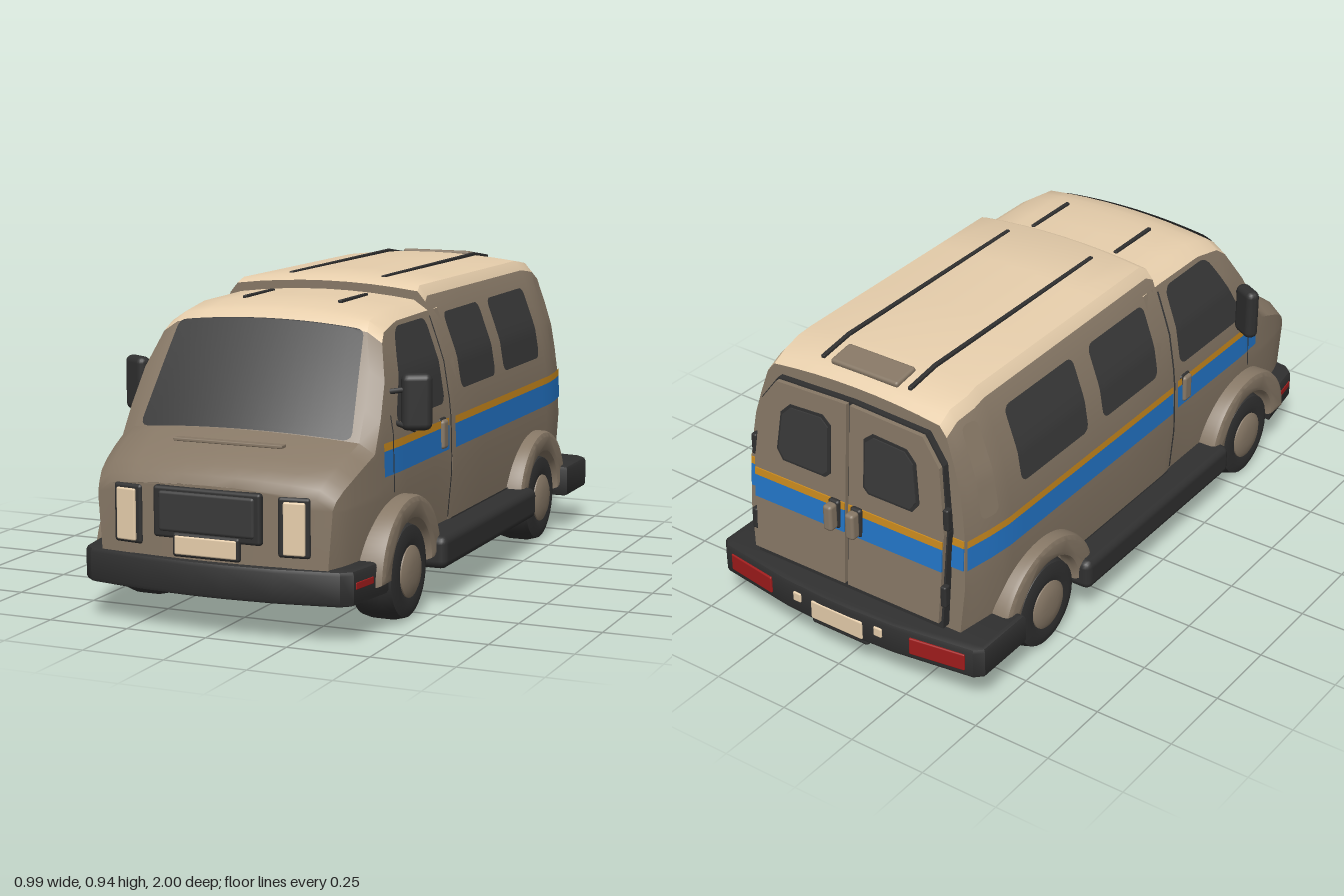
import * as THREE from 'three';
import { toCreasedNormals } from 'three/addons/utils/BufferGeometryUtils.js';
import { RoundedBoxGeometry } from 'three/addons/geometries/RoundedBoxGeometry.js';

const mat = (name, color, side = THREE.FrontSide) => {
  const m = new THREE.MeshStandardMaterial({ color, side });
  m.name = name;
  return m;
};

// piecewise linear lookup in an ascending table
function lookup(table, v) {
  if (v <= table[0][0]) return table[0][1];
  for (let i = 1; i < table.length; i++) {
    const [a, p] = table[i - 1], [b, q] = table[i];
    if (v <= b) return p + (q - p) * (v - a) / (b - a);
  }
  return table[table.length - 1][1];
}
const sideX = y => lookup([[.2, .405], [.37, .42], [.55, .415], [.7, .39], [.81, .35], [.87, .328], [.91, .305]], y);
const taper = z => lookup([[-.9, .93], [-.87, .94], [-.75, 1], [.169, 1], [.171, .985], [.6, .985], [.8, .96], [.92, .92], [.98, .87]], z);
const cabTop = z => lookup([[.1, .895], [.42, .892], [.53, .872], [.57, .845], [.77, .555], [.86, .522], [.935, .482], [.965, .455], [.98, .43]], z);
const rearTop = z => lookup([[-.87, .885], [-.82, .912], [-.7, .93], [.14, .935], [.17, .92]], z);
const CROWN = .02, DROP = .05, CAB_INSET = .045, REAR_INSET = .025, BOW = .25, BODY_LEAN = .06, DOOR_LEAN = .075;
const flatX = (top, z, inset) => sideX(top - DROP) * taper(z) - inset;

// bows the nose in plan and leans the tail
function bend(g) {
  const p = g.attributes.position;
  for (let i = 0; i < p.count; i++) {
    const x = p.getX(i), y = p.getY(i);
    let z = p.getZ(i);
    if (z > .5) z -= BOW * x * x * Math.min(1, (z - .5) / .3);
    else if (z < -.75) z -= (.85 - y) * BODY_LEAN * Math.min(1, (-.75 - z) / .12);
    p.setZ(i, z);
  }
  g.computeVertexNormals();
  return g;
}

// half cross-section, from the sill up to the roof centre
function section(z, top, inset) {
  const pts = [.2, .37].map(y => [sideX(y) * taper(z), y]);
  for (let k = 1; k <= 6; k++) {
    const y = .37 + (top - DROP - .37) * k / 6;
    pts.push([sideX(y) * taper(z), y]);
  }
  for (const f of [1, .75, .5, .25, 0]) pts.push([f * flatX(top, z, inset), top - CROWN * f * f]);
  return pts;
}

// shell lofted back to front, with roof faces in a second group
function shell(zs, topOf, inset, roofEnd, backCap) {
  const body = [], roof = [];
  const halves = zs.map(z => section(z, topOf(z), inset));
  const rings = halves.map((h, s) => [...h, ...h.slice(0, -1).reverse().map(([x, y]) => [-x, y])].map(([x, y]) => [x, y, zs[s]]));
  const quad = (out, a, b, c, d) => out.push(...a, ...b, ...c, ...a, ...c, ...d);
  for (let s = 0; s < zs.length - 1; s++) {
    const r = rings[s], q = rings[s + 1];
    for (let i = 0; i < r.length - 1; i++) {
      const isRoof = i >= 7 && i < 17 && zs[s + 1] <= roofEnd;
      quad(isRoof ? roof : body, r[i], r[i + 1], q[i + 1], q[i]);
    }
  }
  const cap = (s, front) => {
    const h = halves[s], n = 8, P = (i, j) => [h[i][0] * (2 * j / n - 1), h[i][1], zs[s]];
    for (let i = 0; i < h.length - 1; i++) for (let j = 0; j < n; j++) {
      const c = [P(i, j), P(i, j + 1), P(i + 1, j + 1), P(i + 1, j)];
      quad(body, ...(front ? c : c.reverse()));
    }
  };
  cap(zs.length - 1, true);
  if (backCap) cap(0, false);
  const g = new THREE.BufferGeometry();
  g.setAttribute('position', new THREE.Float32BufferAttribute([...body, ...roof], 3));
  g.addGroup(0, body.length / 3, 0);
  g.addGroup(body.length / 3, roof.length / 3, 1);
  return toCreasedNormals(bend(g), .6);
}

// thin curved sheet: fn(u, v) with u, v in 0..1
function sheet(nu, nv, fn) {
  const g = new THREE.PlaneGeometry(1, 1, nu, nv), p = g.attributes.position;
  for (let i = 0; i < p.count; i++) p.setXYZ(i, ...fn(p.getX(i) + .5, .5 - .5 * Math.cos(Math.PI * (p.getY(i) + .5))));
  return bend(g);
}
const cornerInset = (d, r) => d < r ? r - Math.sqrt(r * r - (r - d) ** 2) : 0;

export function createModel() {
  const model = new THREE.Group();
  model.name = 'van';
  const body = mat('taupe body', 0x877866), tan = mat('light tan', 0xebd2af), trim = mat('black trim', 0x303030),
    glass = mat('dark glass', 0x393939, THREE.DoubleSide), blue = mat('blue stripe', 0x2376c9, THREE.DoubleSide),
    orange = mat('orange stripe', 0xcd8c1e, THREE.DoubleSide), red = mat('red lamp', 0xa01c1c);
  const add = (name, g, m, x = 0, y = 0, z = 0, ry = 0) => {
    const o = new THREE.Mesh(g, m);
    o.name = name;
    o.position.set(x, y, z);
    o.rotation.y = ry;
    model.add(o);
    return o;
  };
  const box = (name, m, w, h, d, x, y, z, ry = 0, r = .01) =>
    add(name, new RoundedBoxGeometry(w, h, d, 2, Math.min(r, w / 2.1, h / 2.1, d / 2.1)), m, x, y, z, ry);
  // sheet on the body side, from zBack to zFront(y)
  const panel = (name, m, s, y0, y1, zBack, zFront, off, r = 0) => add(name, sheet(14, 16, (u, v) => {
    const y = y0 + (y1 - y0) * v, c = cornerInset(Math.min(y - y0, y1 - y), r);
    const a = zBack + c, b = (typeof zFront === 'function' ? zFront(y) : zFront) - c;
    const z = s > 0 ? b + (a - b) * u : a + (b - a) * u;
    return [s * (sideX(y) * taper(z) + off), y, z];
  }), m);

  // body shells
  add('rearBody', shell([-.87, -.845, -.82, -.75, -.7, -.4, -.1, .14, .17], rearTop, REAR_INSET, 1, true), [body, tan]);
  add('cab', shell([.1, .2, .3, .42, .48, .53, .57, .64, .71, .77, .83, .89, .935, .965, .98], cabTop, CAB_INSET, .575, false), [body, tan]);
  box('chassis', trim, .8, .1, 1.5, 0, .165, 0);

  // windscreen
  for (const [name, grow, off] of [['windscreenSeal', .01, .004], ['windscreen', 0, .008]])
    add(name, sheet(16, 18, (u, v) => {
      const z = .765 + grow * .5 - (.195 + grow) * v, top = cabTop(z), d = Math.min(v, 1 - v) * .36;
      const x = (2 * u - 1) * (.325 - .04 * v + grow - cornerInset(d, .025)), f = x / flatX(top, z, CAB_INSET);
      return [x, top - CROWN * f * f + off * .6, z + off * .8];
    }), glass);

  // bumpers, drawn in plan and raised
  const bumper = (name, half, y) => {
    const pts = [...half, ...half.slice().reverse().map(([x, z]) => [-x, z])];
    const g = new THREE.ExtrudeGeometry(new THREE.Shape(pts.map(([x, z]) => new THREE.Vector2(x, -z))),
      { depth: .075, bevelSize: .014, bevelThickness: .014, bevelOffset: -.014, bevelSegments: 2 });
    add(name, toCreasedNormals(g.rotateX(-Math.PI / 2), .5), trim, 0, y + .014);
  };
  bumper('frontBumper', [[.448, .745], [.42, .925], [.39, .952], [.2, .985], [.05, .995]], .112);
  bumper('rearBumper', [[.485, -.73], [.485, -.93], [.46, -.955], [.2, -.992], [.05, -1]], .118);

  // nose
  box('grilleFrame', trim, .335, .148, .03, 0, .347, .975);
  box('grille', glass, .3, .118, .03, 0, .35, .98);
  box('frontPlateFrame', trim, .21, .07, .02, 0, .257, .986);
  box('frontPlate', tan, .192, .054, .02, 0, .257, .99, 0, .005);
  box('hoodVent', body, .34, .01, .03, 0, .529, .84, 0, .003);

  // plate on the leaning tail
  const tail = (name, m, pts, off, depth) => {
    const g = new THREE.ExtrudeGeometry(new THREE.Shape(pts.map(p => new THREE.Vector2(...p))), { depth, bevelEnabled: false });
    const p = g.attributes.position;
    for (let i = 0; i < p.count; i++) p.setZ(i, p.getZ(i) - .885 - (.85 - p.getY(i)) * DOOR_LEAN - off);
    g.computeVertexNormals();
    add(name, g, m);
  };
  const rect = (x0, x1, y0, y1) => [[x0, y0], [x1, y0], [x1, y1], [x0, y1]];
  box('rearPlateFrame', trim, .21, .05, .03, 0, .126, -.975);
  box('rearPlate', tan, .19, .062, .02, 0, .16, -.993, 0, .005);

  for (const s of [1, -1]) {
    const flip = pts => pts.map(([x, y]) => [x * s, y]);
    // wheels and arches
    for (const [end, z] of [['front', .585], ['rear', -.565]]) {
      const lathe = pts => toCreasedNormals(new THREE.LatheGeometry(pts.map(p => new THREE.Vector2(...p)), 32).rotateZ(-s * Math.PI / 2), .7);
      add(end + 'Tyre', lathe([[0, 0], [.11, 0], [.136, .02], [.143, .05], [.143, .11], [.134, .142], [.1, .152], [.08, .146], [0, .146]]), trim, s * .302, .143, z);
      add(end + 'Hub', lathe([[.078, .13], [.076, .15], [.06, .158], [.03, .162], [0, .163]]), body, s * .302, .143, z);
      const arch = new THREE.Shape();
      arch.absellipse(0, 0, .23, .22, 0, Math.PI, false);
      arch.absellipse(0, 0, .15, .15, Math.PI, 0, true);
      const g = new THREE.ExtrudeGeometry(arch, { depth: .13, bevelSize: .018, bevelThickness: .018, bevelOffset: -.018, bevelSegments: 2, curveSegments: 20 });
      add(end + 'Arch', toCreasedNormals(g.rotateY(Math.PI / 2).translate(-.065, 0, 0), .6), body, s * .377, .145, z);
    }
    box('sill', trim, .14, .1, .82, s * .42, .16, 0, 0, .025);

    // side glass with seals
    const front = y => .60 - (y - .585) * .62;
    panel('doorWindowSeal', glass, s, .575, .83, .215, y => front(y) + .005, .004, .03);
    panel('doorWindow', glass, s, .588, .82, .228, y => front(y) - .007, .009, .025);
    for (const [a, b] of [[-.22, .08], [-.64, -.30]]) {
      panel('sideWindowSeal', glass, s, .6, .83, a, b, .004, .025);
      panel('sideWindow', glass, s, .612, .818, a + .012, b - .012, .009, .02);
    }
    // side stripes
    for (const [a, b] of [[.195, .715], [-.866, .158]]) {
      panel('blueStripe', blue, s, .432, .505, a, b, .005);
      panel('orangeStripe', orange, s, .505, .528, a, b, .005);
    }
    panel('doorSeam', glass, s, .38, .6, .645, .652, .006);
    panel('cabSeam', glass, s, .22, .83, .172, .18, .004);
    panel('bodyBase', glass, s, .2, .215, -.36, .16, .004);
    panel('cornerPanel', body, s, .57, .85, -.82, -.76, .008, .02);
    box('doorHandleBase', trim, .02, .1, .052, s * .406, .485, .24);
    box('doorHandle', body, .026, .088, .042, s * .413, .485, .242);

    // mirrors
    box('mirror', trim, .09, .165, .045, s * .45, .63, .545, s * .5, .02);
    for (const [y0, y1] of [[.66, .66], [.54, .585]]) {
      const path = new THREE.LineCurve3(new THREE.Vector3(s * .37, y1, .6), new THREE.Vector3(s * .45, y0 + .01, .55));
      add('mirrorArm', new THREE.TubeGeometry(path, 1, .008, 8), trim);
    }

    // headlights, markers and tail lamps
    box('headlightFrame', trim, .095, .172, .03, s * .257, .329, .955, s * .13);
    box('headlight', tan, .064, .15, .03, s * .26, .327, .962, s * .13, .005);
    box('sideMarker', red, .01, .02, .09, s * .4262, .17, .87, -s * .154, .002);
    box('tailLamp', red, .18, .056, .02, s * .345, .17, -.967, -s * .153, .004);
    box('plateLamp', tan, .03, .032, .02, s * .15, .178, -.99, 0, .005);

    // back doors
    tail('doorGasket', trim, flip([[0, .235], [.342, .235], [.35, .55], [.327, .758], [.266, .84], [0, .85]]), .004, .04);
    tail('backDoor', body, flip([[.006, .258], [.335, .258], [.345, .55], [.322, .755], [.262, .835], [.006, .845]]), .018, .03);
    tail('backWindowSeal', trim, flip([[.06, .605], [.078, .588], [.235, .588], [.258, .62], [.243, .745], [.21, .778], [.09, .785], [.06, .76]]), .021, .004);
    tail('backWindow', glass, flip([[.068, .612], [.085, .597], [.228, .597], [.249, .625], [.235, .74], [.205, .77], [.095, .776], [.068, .753]]), .025, .006);
    for (const [x0, x1, off] of [[.007, .342, .022], [.342, .389, -.017]]) {
      tail('backBlueStripe', blue, flip(rect(x0, x1, .432, .505)), off, .006);
      tail('backOrangeStripe', orange, flip(rect(x0, x1, .505, .528)), off, .006);
    }
    for (const y of [.35, .6]) box('hinge', trim, .02, .07, .025, s * .348, y, -.892 - (.85 - y) * DOOR_LEAN, 0, .006);
    box('backHandleBase', trim, .04, .095, .02, s * .04, .485, -.934);
    box('backHandle', body, .032, .085, .035, s * .04, .485, -.957);

    // roof rails
    box('rearRail', trim, .013, .012, .79, s * .155, .928, -.305, 0, .003);
    box('rearRailEnd', trim, .013, .012, .125, s * .155, .919, -.758, 0, .003).rotation.x = -.15;
    box('cabRail', trim, .013, .014, .2, s * .155, .887, .32, 0, .003);
  }
  box('roofHatch', body, .24, .02, .09, 0, .917, -.785, 0, .009).rotation.x = -.15;
  return model;
}
